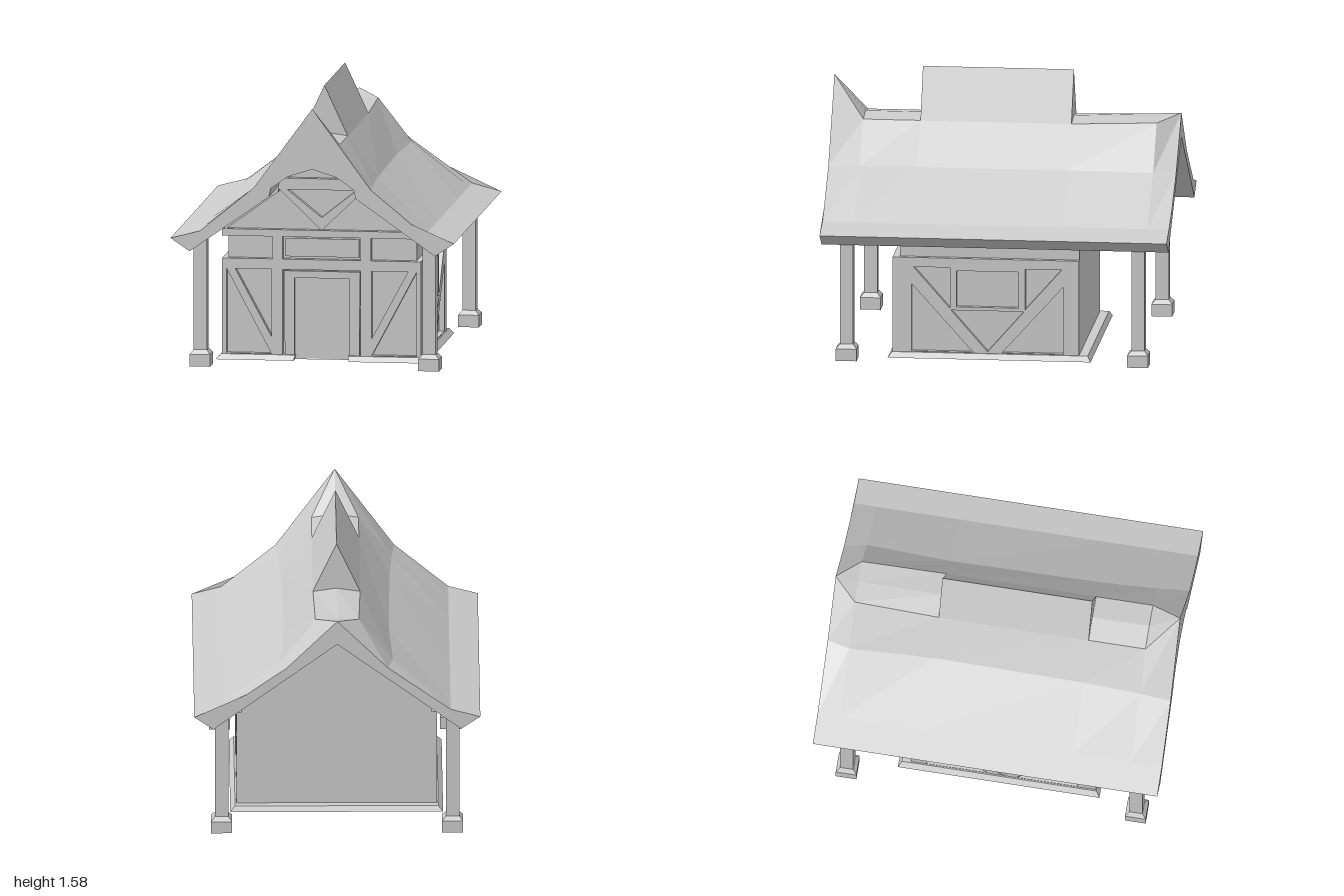
import * as THREE from 'three';

const mat = new THREE.MeshStandardMaterial({ color: 0xcccccc, flatShading: true, side: THREE.DoubleSide });
const vecs = (pts) => pts.map(([x, y]) => new THREE.Vector2(x, y));
const mirror = (pts, axis = 0) => pts.map(([x, y]) => [2 * axis - x, y]);
const rect = (x0, x1, y0, y1) => [[x0, y0], [x1, y0], [x1, y1], [x0, y1]];

// Symmetric outline from its right half, listed bottom to top
const symmetric = (half) => [...half, ...mirror(half).reverse()];

function plate(outline, depth, holes = []) {
  const shape = new THREE.Shape(vecs(outline));
  holes.forEach((h) => shape.holes.push(new THREE.Path(vecs(h))));
  return new THREE.ExtrudeGeometry(shape, { depth, bevelEnabled: false });
}

// Roof: a nine-point top and a nine-point underside lofted along z
function roofGeometry() {
  const full = (half) => [...half, ...mirror(half.slice(0, -1)).reverse()];
  // z, knee x, shoulder [x, y], ridge y
  const stations = [
    [1, 0.34, [0, 1.52], 1.52],
    [0.82, 0.325, [0.135, 1.29], 1.31],
    [0.49, 0.31, [0.135, 1.29], 1.31],
    [-0.38, 0.3, [0.135, 1.29], 1.31],
    [-0.87, 0.32, [0.125, 1.305], 1.31],
    [-1, 0.29, [0, 1.34], 1.34],
  ];
  const pos = [], idx = [], n = 9;
  stations.forEach(([z, knee, shoulder, ridge]) => {
    const t = (z + 1) / 2; // the underside turns from a plain gable into an arch
    const mix = (a, b) => a + (b - a) * t;
    const top = full([[0.82, 0.755], [0.65, 0.8], [knee, 1.055], shoulder, [0, ridge]]);
    const under = full([[0.71, 0.68], [0.25, mix(1.017, 1.005)], [0.24, mix(1.024, 1.055)],
      [0.14, mix(1.097, 1.125)], [0, mix(1.2, 1.17)]]);
    [...top, ...under].forEach(([x, y]) => pos.push(x, y, z));
  });
  const quad = (a, b, c, d) => idx.push(a, b, c, a, c, d);
  const last = stations.length - 1;
  for (let s = 0; s < last; s++) {
    const a = s * 2 * n, b = a + 2 * n;
    for (let i = 0; i < n - 1; i++) {
      quad(a + i, b + i, b + i + 1, a + i + 1);
      quad(a + n + i, a + n + i + 1, b + n + i + 1, b + n + i);
    }
    quad(a, a + n, b + n, b);
    quad(a + n - 1, b + n - 1, b + 2 * n - 1, a + 2 * n - 1);
  }
  const e = last * 2 * n;
  for (let i = 0; i < n - 1; i++) {
    quad(i, i + 1, n + i + 1, n + i);
    quad(e + i, e + n + i, e + n + i + 1, e + i + 1);
  }
  const g = new THREE.BufferGeometry();
  g.setAttribute('position', new THREE.Float32BufferAttribute(pos, 3));
  g.setIndex(idx);
  g.computeVertexNormals();
  return g;
}

export function createModel() {
  const model = new THREE.Group();
  model.name = 'timberHouse';
  const add = (name, geometry, x = 0, y = 0, z = 0, parent = model) => {
    const m = new THREE.Mesh(geometry, mat);
    m.name = name;
    m.position.set(x, y, z);
    parent.add(m);
    return m;
  };

  // Plinth with a notch at the door, its sides leaning inward
  const plinth = plate([[-0.61, -0.63], [-0.16, -0.63], [-0.16, -0.56], [0.16, -0.56], [0.16, -0.63],
    [0.61, -0.63], [0.61, 0.54], [-0.61, 0.54]], 0.03);
  plinth.rotateX(-Math.PI / 2);
  const p = plinth.attributes.position;
  for (let i = 0; i < p.count; i++) {
    if (p.getY(i) > 0.015) {
      p.setX(i, p.getX(i) * 0.955);
      p.setZ(i, p.getZ(i) * 0.965);
    }
  }
  add('plinth', plinth);

  // Walls with plain gables
  add('walls', plate(symmetric([[0.545, 0.005], [0.545, 0.8], [0, 1.2]]), 1.035), 0, 0, -0.47);

  // Front timber frame: braced bays, transom window and door opening
  const frontHoles = [
    [[0.55, 0.525], [0.55, 0.035], [0.29, 0.035]],
    [[0.5, 0.525], [0.29, 0.525], [0.29, 0.135]],
  ];
  const frontOutline = symmetric([[0.225, 0.005], [0.575, 0.005], [0.575, 0.585], [0.285, 0.585],
    [0.285, 0.715], [0.575, 0.715], [0.575, 0.755]]);
  frontOutline.push([-0.225, 0.525], [0.225, 0.525]);
  add('frontTimberFrame', plate(frontOutline, 0.04,
    [...frontHoles, ...frontHoles.map((h) => mirror(h)), rect(-0.225, 0.225, 0.585, 0.715)]), 0, 0, 0.565);
  add('transomPanel', new THREE.BoxGeometry(0.425, 0.105, 0.02), 0, 0.65, 0.565);
  add('doorFrame', plate([[0.16, 0.005], [0.215, 0.005], [0.22, 0.515], [-0.22, 0.515], [-0.215, 0.005],
    [-0.16, 0.005], [-0.16, 0.475], [0.16, 0.475]], 0.02), 0, 0, 0.565);

  // Gable truss plate and rake boards
  add('gableTruss', plate(symmetric([[0, 0.755], [0.255, 1.0], [0.24, 1.055]]), 0.04,
    [[[-0.2, 0.99], [0.2, 0.99], [0, 0.83]]]), 0, 0, 0.565);
  const rake = [[0.25, 0.975], [0.55, 0.755], [0.6, 0.765], [0.25, 1.015]];
  [rake, mirror(rake)].forEach((r) => add('rakeBoard', plate(r, 0.04), 0, 0, 0.565));

  // Side timber frames: V braces around a window, drawn along z
  const mid = 0.0575;
  const sideHoles = [
    [[0.495, 0.43], [0.495, 0.035], [0.14, 0.035]],
    [[0.485, 0.53], [0.275, 0.53], [0.275, 0.292]],
  ];
  const side = plate(rect(-0.47, 0.565, 0.005, 0.585), 0.04, [
    ...sideHoles, ...sideHoles.map((h) => mirror(h, mid)),
    [[0.268, 0.28], [2 * mid - 0.268, 0.28], [mid, 0.04]],
    rect(2 * mid - 0.237, 0.237, 0.3, 0.512),
  ]);
  side.rotateY(-Math.PI / 2);
  add('leftTimberFrame', side, 0.575);
  add('rightTimberFrame', side, -0.535);

  // Porch posts on tapered footings
  for (const x of [-0.662, 0.662]) {
    for (const z of [0.857, -0.823]) {
      const post = new THREE.Group();
      post.name = 'porchPost';
      post.position.set(x, 0, z);
      model.add(post);
      add('postShaft', new THREE.BoxGeometry(0.076, 0.65, 0.076), 0, 0.405, 0, post);
      add('postFooting', new THREE.BoxGeometry(0.12, 0.07, 0.12), 0, 0.035, 0, post);
      const taper = new THREE.CylinderGeometry(0.076 / Math.SQRT2, 0.12 / Math.SQRT2, 0.025, 4);
      taper.rotateY(Math.PI / 4);
      add('postFootingTop', taper, 0, 0.0825, 0, post);
    }
  }

  // Roof and raised ridge
  add('roof', roofGeometry());
  add('ridgeCap', plate([[-0.14, 1.28], [0.14, 1.28], [0, 1.58]], 0.87), 0, 0, -0.38);
  return model;
}
